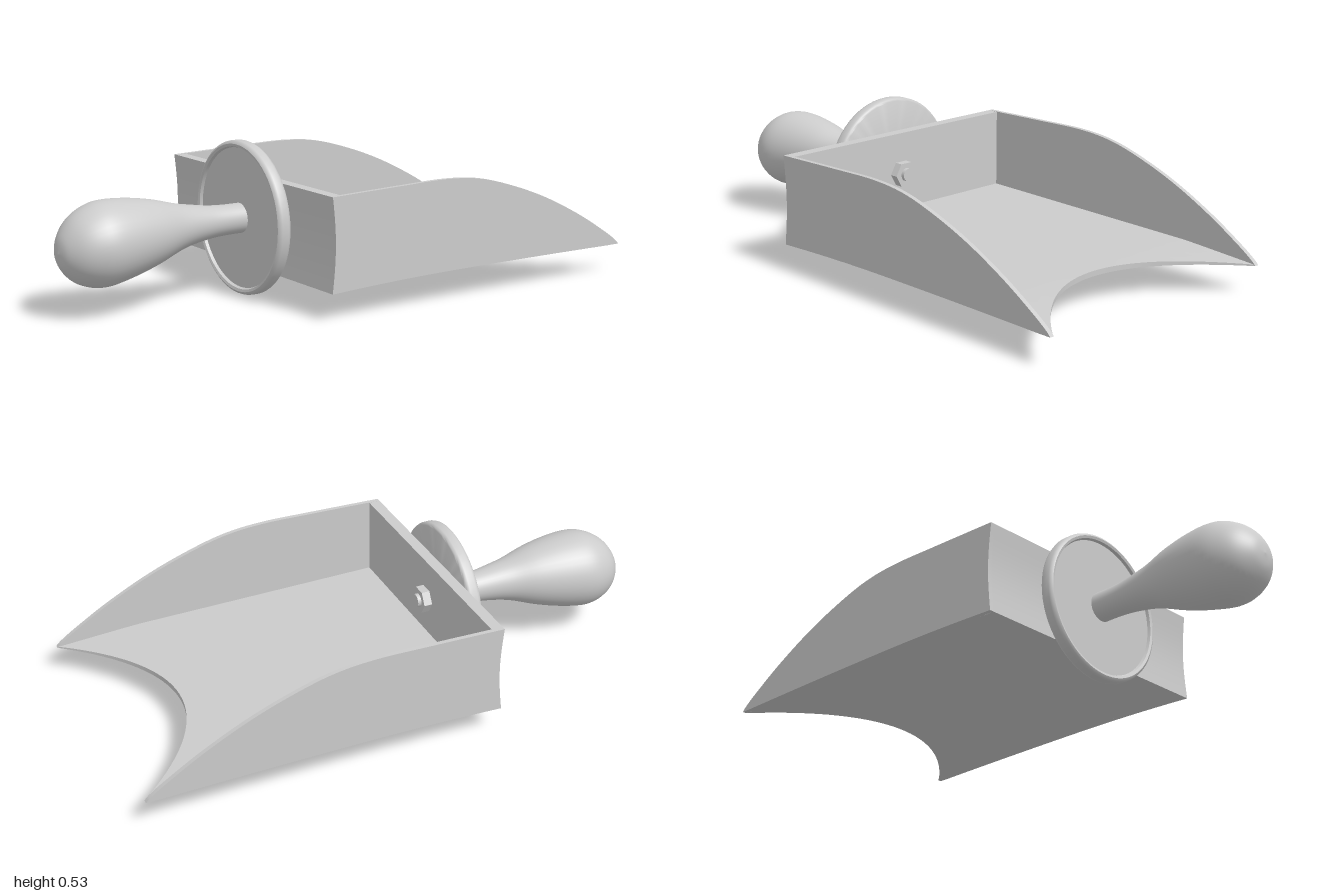
import * as THREE from 'three';
import { toCreasedNormals } from 'three/addons/utils/BufferGeometryUtils.js';

const material = new THREE.MeshStandardMaterial({ color: 0xcccccc });
const HALF = 0.5, SHEET = 0.016, AXIS_Y = 0.273;
const vec = ([x, y]) => new THREE.Vector2(x, y);

// Height of the pan's gently bowed underside and of its inner floor
const bottomY = (x) => 0.113 - (x < 0.25 ? 0.013 * ((x - 0.25) / 0.52) ** 2 : 0.006 * ((x - 0.25) / 0.75) ** 2);
const floorY = (x) => (x < 0.7 ? 0.14 - 0.011 * (x + 0.23) : 0.13 - 0.06 * (x - 0.7));

// Slightly hollow rear edge, traced upwards
const rearEdge = [];
for (let i = 0; i <= 12; i++) {
  const t = i / 12;
  rearEdge.push([-0.271 + 0.012 * Math.sin(Math.PI * t), 0.1 + 0.32 * t]);
}

function createModel() {
  const model = new THREE.Group();
  model.name = 'scoop';

  const add = (name, geometry, parent = model) => {
    const mesh = new THREE.Mesh(geometry, material);
    mesh.name = name;
    parent.add(mesh);
    return mesh;
  };
  const extrude = (points, depth, z) => {
    const geo = new THREE.ExtrudeGeometry(new THREE.Shape(points.map(vec)), { depth, bevelEnabled: false });
    return toCreasedNormals(geo.translate(0, 0, z), 0.5);
  };
  // Solid of revolution about the x axis, from [radius, x] pairs
  const turned = (points, sides) => new THREE.LatheGeometry(points, sides).rotateZ(-Math.PI / 2);

  // Side walls, sweeping down to pointed tips
  const crest = new THREE.SplineCurve([
    [-0.271, 0.42], [0, 0.427], [0.2, 0.43], [0.35, 0.415], [0.5, 0.373],
    [0.65, 0.315], [0.8, 0.24], [0.92, 0.168], [0.98, 0.127], [1, 0.108],
  ].map(vec)).getPoints(50).map((p) => [p.x, p.y]);
  const underside = [];
  for (let i = 1; i < 24; i++) {
    const x = 1 - (1.271 * i) / 24;
    underside.push([x, bottomY(x)]);
  }
  const wallOutline = [...rearEdge, ...crest.slice(1), ...underside];
  add('leftSideWall', extrude(wallOutline, SHEET, -HALF));
  add('rightSideWall', extrude(wallOutline, SHEET, HALF - SHEET));

  // Back wall
  const inner = HALF - SHEET;
  add('backWall', extrude([...rearEdge, [-0.23, 0.42], [-0.23, 0.1]], 2 * inner, -inner));

  // Floor with a hollowed front edge
  const floor = new THREE.BoxGeometry(1, 1, 1, 20, 1, 40);
  const pos = floor.attributes.position;
  for (let i = 0; i < pos.count; i++) {
    const z = pos.getZ(i) * 2 * inner;
    const front = 0.71 + 0.285 * (z / inner) ** 2;
    const x = THREE.MathUtils.lerp(-0.231, front, pos.getX(i) + 0.5);
    pos.setXYZ(i, x, pos.getY(i) > 0 ? floorY(x) : bottomY(x), z);
  }
  floor.computeVertexNormals();
  add('floor', floor);

  // Round guard plate with a raised rim on the handle side
  const guard = turned([
    [0, -0.308], [0.243, -0.308], [0.247, -0.318], [0.256, -0.321], [0.264, -0.316],
    [0.267, -0.308], [0.267, -0.284], [0.263, -0.275], [0.257, -0.272], [0, -0.272],
  ].map(vec), 64);
  add('guardPlate', toCreasedNormals(guard, 0.8)).position.y = AXIS_Y;

  // Bulbous handle, drooping towards its end
  const profile = new THREE.SplineCurve([
    [0, -1], [0.05, -0.989], [0.1, -0.952], [0.131, -0.9], [0.143, -0.84], [0.133, -0.75],
    [0.11, -0.65], [0.078, -0.55], [0.059, -0.45], [0.053, -0.38], [0.052, -0.3],
  ].map(vec)).getPoints(50);
  profile[0].x = 0;
  const handle = turned(profile, 40);
  const hp = handle.attributes.position;
  for (let i = 0; i < hp.count; i++) {
    const t = Math.max(0, -0.5 - hp.getX(i)) / 0.5;
    hp.setY(i, hp.getY(i) + AXIS_Y - 0.038 * t ** 1.3);
  }
  add('handle', handle);

  // Bolt through the back wall, with its hexagonal nut
  const bolt = new THREE.Group();
  bolt.name = 'bolt';
  bolt.position.y = AXIS_Y;
  model.add(bolt);
  const rod = (r, from, to, sides) =>
    new THREE.CylinderGeometry(r, r, to - from, sides).rotateZ(-Math.PI / 2).translate((from + to) / 2, 0, 0);
  add('boltShaft', rod(0.024, -0.3, -0.187, 24), bolt);
  add('nut', toCreasedNormals(rod(0.048, -0.232, -0.2, 6), 0.3), bolt);

  return model;
}

export { createModel };
